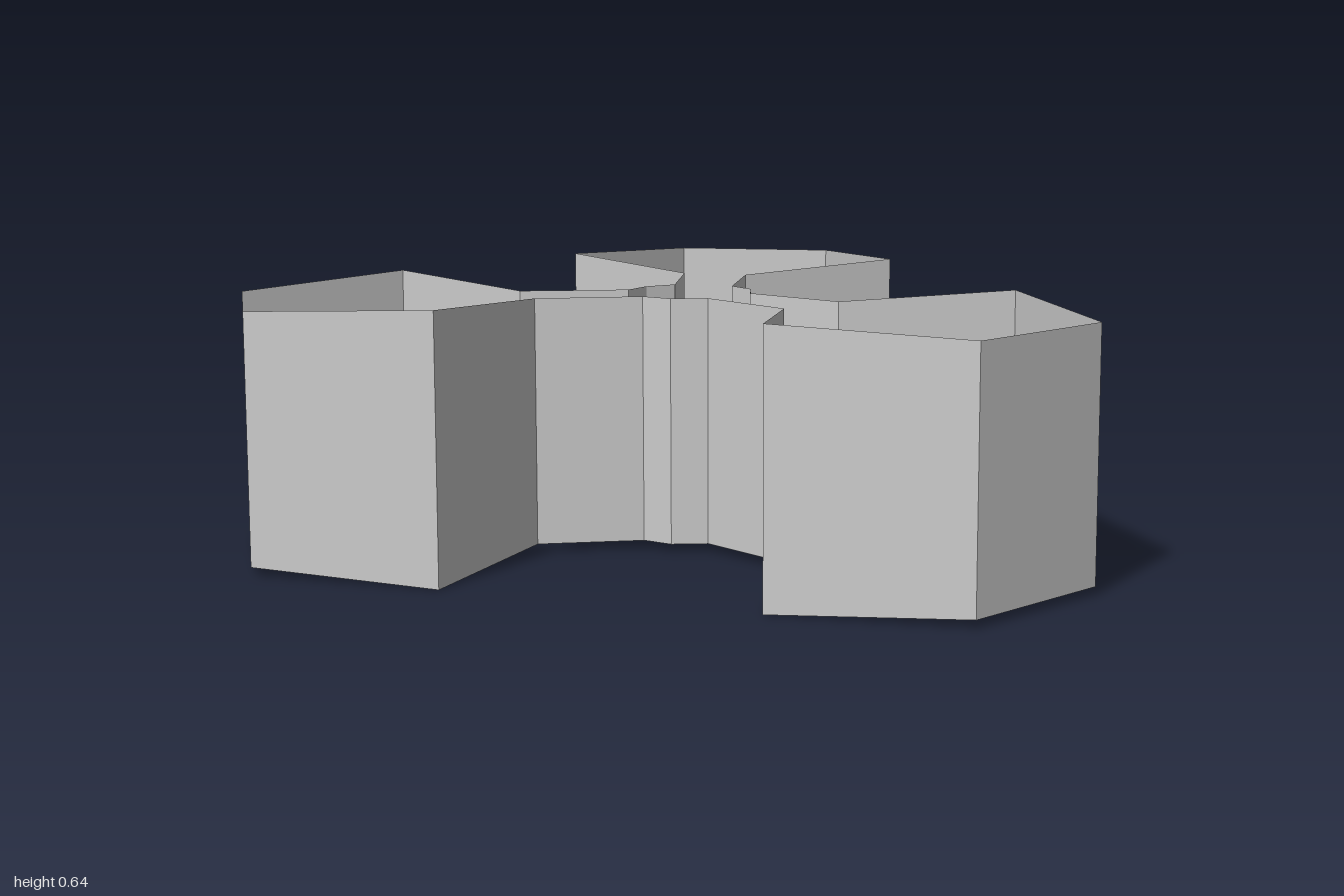
import * as THREE from 'three';

const LOW = 0.02;   // inset of most wall ends
const H = 0.642;    // full height, reached at the flared corners

// Open wall following plan points [x, z, flared?]
function wall(name, points) {
  const pos = [];
  for (let i = 0; i + 1 < points.length; i++) {
    const [a, b] = [points[i], points[i + 1]].map(([x, z, flared]) => {
      const inset = flared ? 0 : LOW;
      return { bottom: [x, inset, z], top: [x, H - inset, z] };
    });
    pos.push(...a.bottom, ...b.bottom, ...b.top, ...a.bottom, ...b.top, ...a.top);
  }
  const geo = new THREE.BufferGeometry();
  geo.setAttribute('position', new THREE.Float32BufferAttribute(pos, 3));
  geo.computeVertexNormals();
  const mat = new THREE.MeshStandardMaterial({
    color: 0xcccccc, flatShading: true, side: THREE.DoubleSide,
  });
  const mesh = new THREE.Mesh(geo, mat);
  mesh.name = name;
  return mesh;
}

// Mirror a run of points in x, keeping the outward winding
const mirror = (points) => points.map(([x, z, f]) => [-x, z, f]).reverse();

export function createModel() {
  const group = new THREE.Group();
  group.name = 'threeLobedWall';

  // Front lobe: hexagonal, open towards the hub
  const frontHalf = [[0.215, 0.935], [0.44, 0.52, true], [0.095, 0.26]];
  group.add(wall('frontLobe', [...mirror(frontHalf), ...frontHalf]));

  // Rear side lobes
  const sideLobe = [
    [0.365, -0.305], [0.785, -0.17, true], [1, -0.595],
    [0.765, -0.935], [0.3, -0.89, true], [0.285, -0.45],
  ];
  group.add(wall('leftLobe', sideLobe), wall('rightLobe', mirror(sideLobe)));

  // Necks joining the front lobe to each side lobe
  const neck = [[0.095, 0.26], [0.073, -0.01], [0.14, -0.07], [0.155, -0.15], [0.365, -0.305]];
  group.add(wall('leftNeck', neck), wall('rightNeck', mirror(neck)));

  // Rear of the hub between the two side lobes
  const rear = [[0.285, -0.45], [0.08, -0.278], [0, -0.298]];
  group.add(wall('rearNeck', [...rear, ...mirror(rear).slice(1)]));

  return group;
}
